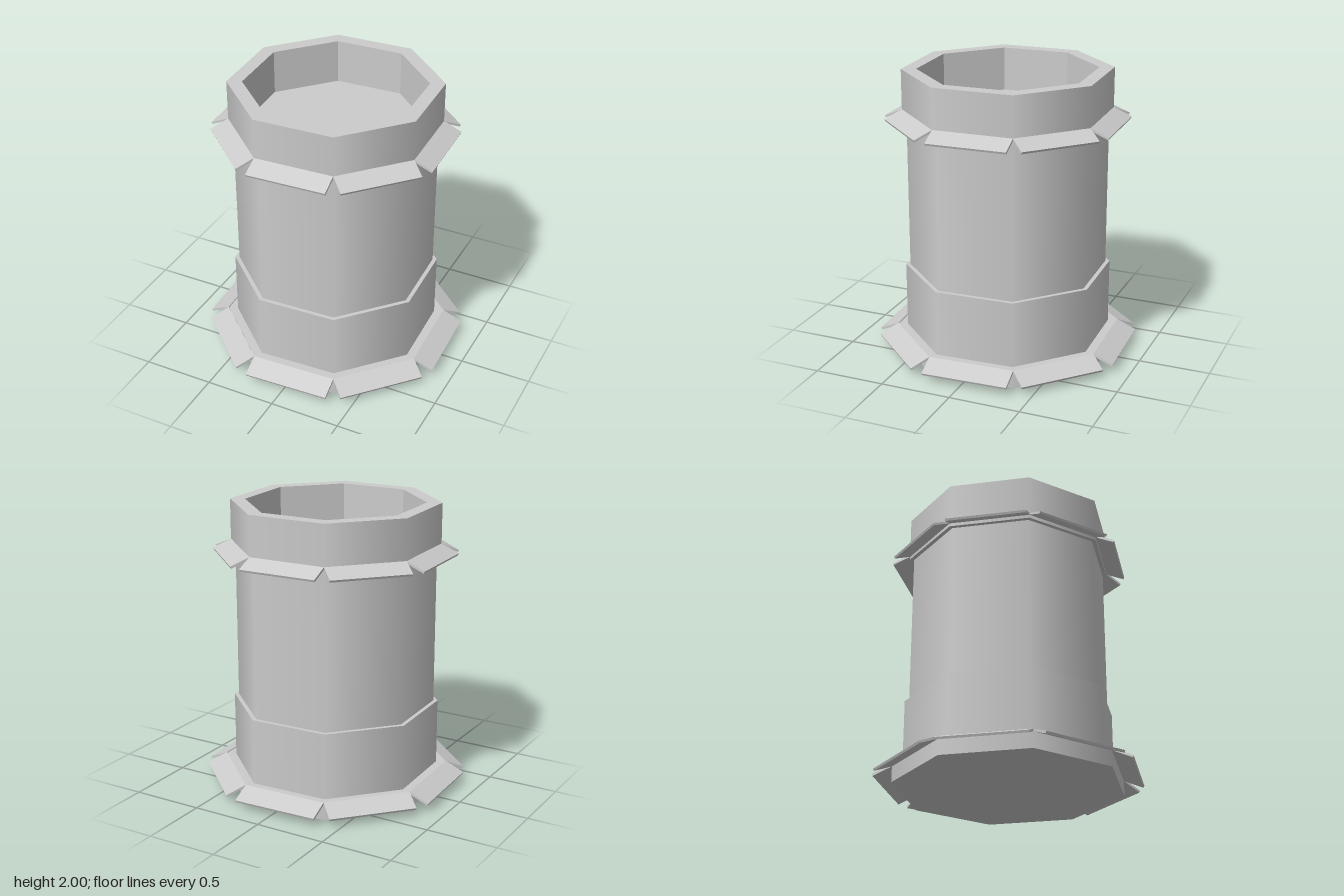
import * as THREE from 'three';

const SIDES = 8;
const TURN = THREE.MathUtils.degToRad(2.5); // slight twist of the whole octagon
const START = TURN + Math.PI / SIDES; // first corner
const APOTHEM = Math.cos(Math.PI / SIDES);

export function createModel() {
  const group = new THREE.Group();
  const smooth = new THREE.MeshStandardMaterial({ color: 0xcccccc });
  const flat = new THREE.MeshStandardMaterial({ color: 0xcccccc, flatShading: true });
  const inside = new THREE.MeshStandardMaterial({ color: 0xcccccc, flatShading: true, side: THREE.BackSide });

  const add = (name, geometry, material, parent = group) => {
    const mesh = new THREE.Mesh(geometry, material);
    mesh.name = name;
    parent.add(mesh);
    return mesh;
  };

  // Octagonal band between two heights
  const band = (name, r, y0, y1, material = smooth, open = false, parent = group) => {
    const geometry = new THREE.CylinderGeometry(r, r, y1 - y0, SIDES, 1, open, START);
    geometry.translate(0, (y0 + y1) / 2, 0);
    return add(name, geometry, material, parent);
  };

  band('base', 0.793, 0, 0.12);
  band('lowerCollar', 0.724, 0.12, 0.585);
  band('shaft', 0.694, 0.585, 1.69); // its top is the floor of the open mouth

  // Hollow upper collar
  const collar = new THREE.Group();
  collar.name = 'upperCollar';
  group.add(collar);
  const [outer, inner, bottom, top] = [0.724, 0.62, 1.68, 2];
  band('collarOuterWall', outer, bottom, top, smooth, true, collar);
  band('collarInnerWall', inner, bottom, top, inside, true, collar);
  const rim = new THREE.RingGeometry(inner, outer, SIDES, 1, START);
  rim.rotateX(-Math.PI / 2);
  add('collarRim', rim, flat, collar).position.y = top;
  add('collarUnderside', rim, inside, collar).position.y = bottom;

  // Row of eight thin plates sloping outward and down from the octagon's edges
  const flapRow = (name, r, y, reach, drop) => {
    const row = new THREE.Group();
    row.name = name;
    const thickness = 0.016;
    const width = 2 * r * Math.sin(Math.PI / SIDES);
    const geometry = new THREE.BoxGeometry(width, thickness, Math.hypot(reach, drop));
    geometry.translate(0, -thickness / 2, Math.hypot(reach, drop) / 2);
    geometry.rotateX(Math.atan2(drop, reach));
    geometry.translate(0, y, r * APOTHEM);
    for (let i = 0; i < SIDES; i++) {
      add('flap', geometry, flat, row).rotation.y = TURN + (i * 2 * Math.PI) / SIDES;
    }
    group.add(row);
  };
  flapRow('lowerFlaps', 0.793, 0.127, 0.138, 0.06);
  flapRow('upperFlaps', 0.724, 1.72, 0.128, 0.055);

  group.position.set(-0.006, 0, -0.003);
  return group;
}
